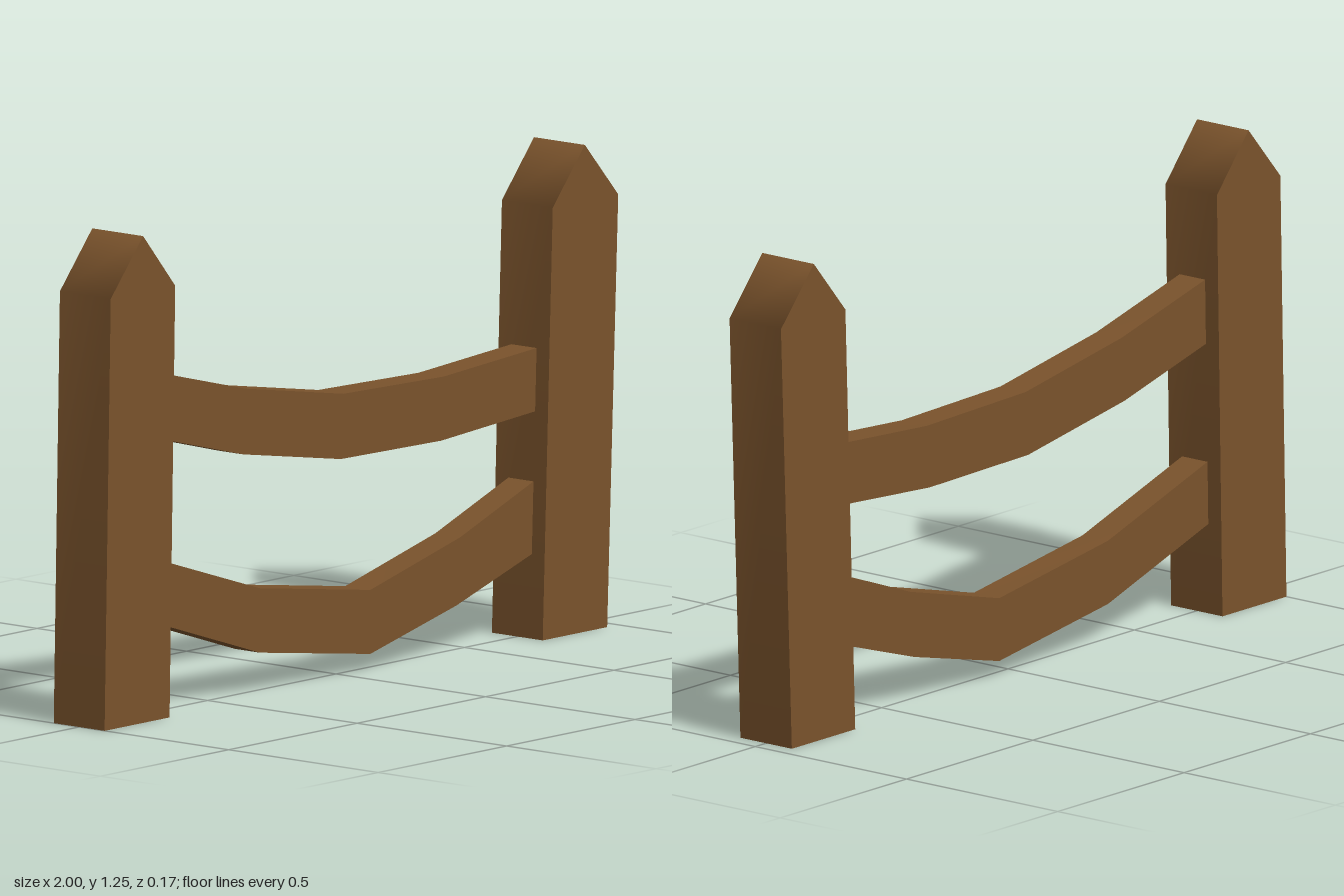
import * as THREE from 'three';
import { toCreasedNormals } from 'three/addons/utils/BufferGeometryUtils.js';

const wood = new THREE.MeshStandardMaterial({ color: 0x7a532c });
wood.name = 'brown wood';

const toShape = (points) => new THREE.Shape(points.map(([x, y]) => new THREE.Vector2(x, y)));

// Flat faces closing a post: front, back and bottom
function addPostCaps(group, outline, depth) {
  const front = new THREE.Mesh(new THREE.ShapeGeometry(toShape(outline)), wood);
  front.name = 'postFront';
  front.position.z = depth / 2;

  const mirrored = outline.map(([x, y]) => [-x, y]).reverse();
  const back = new THREE.Mesh(new THREE.ShapeGeometry(toShape(mirrored)), wood);
  back.name = 'postBack';
  back.rotation.y = Math.PI;
  back.position.z = -depth / 2;

  const [left, right] = [outline[outline.length - 1][0], outline[0][0]];
  const bottom = new THREE.Mesh(new THREE.PlaneGeometry(right - left, depth), wood);
  bottom.name = 'postBottom';
  bottom.rotation.x = Math.PI / 2;
  bottom.position.x = (left + right) / 2;
  group.add(front, back, bottom);
}

// Pointed post; outline runs counter-clockwise from the bottom right corner
function makePost(name, outline, depth) {
  const group = new THREE.Group();
  group.name = name;

  // Softly shaded band over both sides and the gable
  const positions = [];
  const indices = [];
  outline.forEach(([x, y], i) => {
    positions.push(x, y, depth / 2, x, y, -depth / 2);
    if (i > 0) {
      const a = 2 * (i - 1);
      indices.push(a, a + 1, a + 3, a, a + 3, a + 2);
    }
  });
  const band = new THREE.BufferGeometry();
  band.setAttribute('position', new THREE.Float32BufferAttribute(positions, 3));
  band.setIndex(indices);
  band.computeVertexNormals();
  const sides = new THREE.Mesh(band, wood);
  sides.name = 'postSides';
  group.add(sides);

  addPostCaps(group, outline, depth);
  return group;
}

// Sagging rail between an upper and a lower edge, both listed left to right
function makeRail(name, lower, upper, depth) {
  const shape = toShape([...lower, ...[...upper].reverse()]);
  const geometry = new THREE.ExtrudeGeometry(shape, { depth, bevelEnabled: false });
  geometry.translate(0, 0, -depth / 2);
  const rail = new THREE.Mesh(toCreasedNormals(geometry, 0.7), wood);
  rail.name = name;
  return rail;
}

export function createModel() {
  const model = new THREE.Group();
  model.name = 'fence';

  model.add(
    makePost('rightPost', [[-0.747, 0], [-0.725, 1.11], [-0.85, 1.255], [-0.976, 1.11], [-1, 0]], 0.17),
    makePost('leftPost', [[0.957, 0], [1, 1.11], [0.87, 1.255], [0.745, 1.11], [0.706, 0]], 0.17),
    makeRail('upperRail',
      [[-0.76, 0.718], [-0.41, 0.627], [-0.03, 0.563], [0.36, 0.557], [0.76, 0.585]],
      [[-0.76, 0.888], [-0.4, 0.795], [-0.02, 0.73], [0.37, 0.721], [0.76, 0.747]], 0.084),
    makeRail('lowerRail',
      [[-0.77, 0.245], [-0.345, 0.107], [0.085, 0.045], [0.42, 0.124], [0.75, 0.228]],
      [[-0.77, 0.41], [-0.345, 0.273], [0.085, 0.21], [0.435, 0.298], [0.75, 0.414]], 0.084),
  );
  return model;
}
